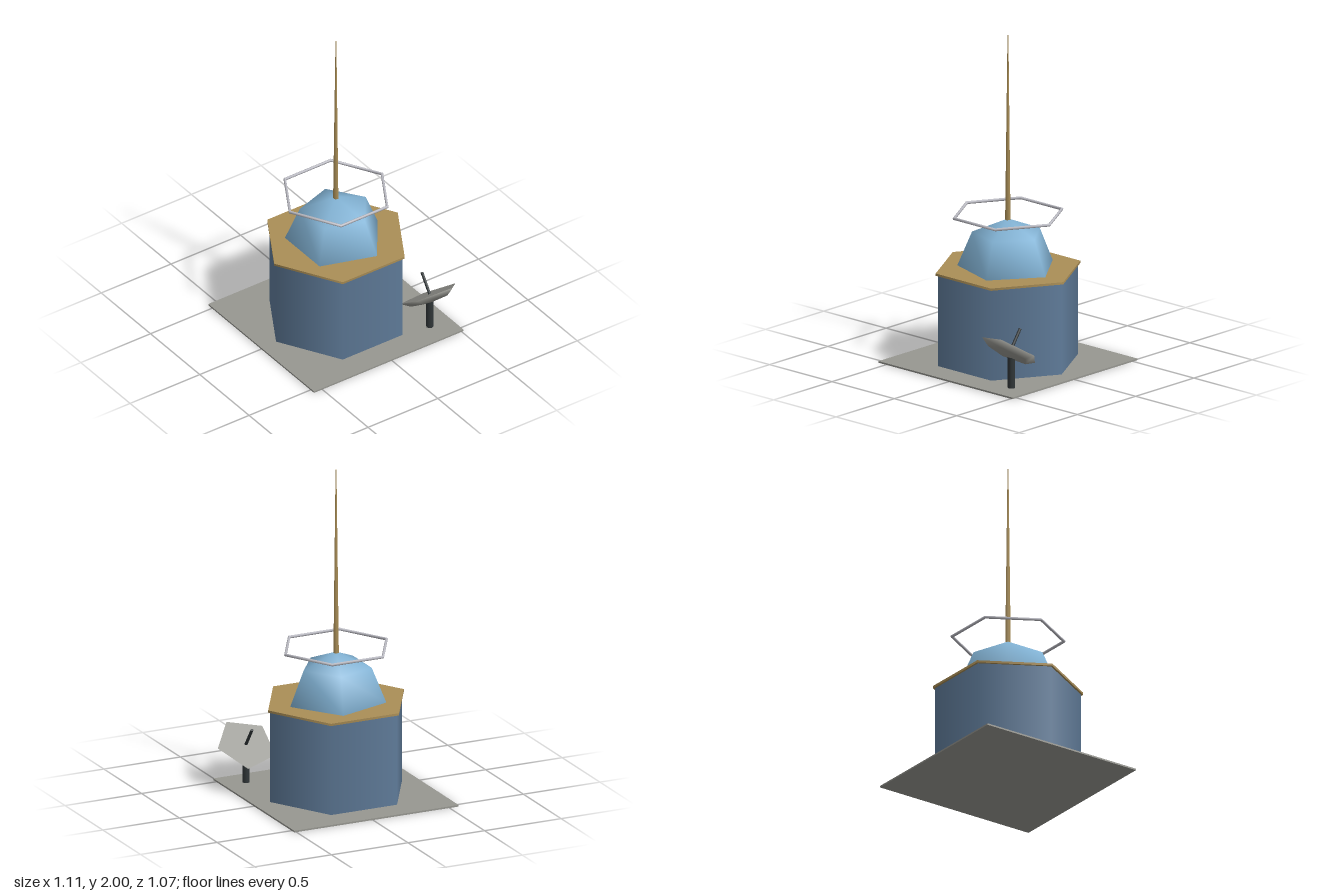
import * as THREE from 'three';

const paint = (name, color) => {
  const m = new THREE.MeshStandardMaterial({ color });
  m.name = name;
  return m;
};

export function createModel() {
  const model = new THREE.Group();
  model.name = 'observatoryStation';

  const concrete = paint('concrete grey', 0x979791);
  const wall = paint('wall blue', 0x5f7b99);
  const bronze = paint('bronze', 0xab8f57);
  const glass = paint('dome blue', 0x83b4d6);
  const steel = paint('light steel', 0xbcbcc4);
  const dark = paint('dark metal', 0x303638);

  const add = (parent, name, geometry, material, x = 0, y = 0, z = 0) => {
    const mesh = new THREE.Mesh(geometry, material);
    mesh.name = name;
    mesh.position.set(x, y, z);
    parent.add(mesh);
    return mesh;
  };
  // Upright prism or taper with one corner on +x
  const prism = (top, bottom, height, sides) =>
    new THREE.CylinderGeometry(top, bottom, height, sides).rotateY(Math.PI / 2);

  const cx = -0.023;

  // Base plate, hexagonal building and roof slab
  add(model, 'basePlate', new THREE.BoxGeometry(1.073, 0.01, 1.073), concrete, cx, 0.005, 0);
  add(model, 'building', prism(0.43, 0.43, 0.555, 6), wall, cx, 0.2875, 0);
  add(model, 'roofSlab', prism(0.443, 0.443, 0.014, 6), bronze, cx, 0.571, 0);

  // Five-sided dome
  const dome = new THREE.SphereGeometry(0.3, 5, 2, 0, Math.PI * 2, 0, Math.PI / 2).rotateY(Math.PI);
  add(model, 'dome', dome, glass, cx, 0.576, 0);

  // Tapered mast and the hexagonal ring around it
  add(model, 'mast', prism(0.003, 0.017, 1.135, 5), bronze, cx, 1.4325, 0);
  add(model, 'antennaRing', new THREE.TorusGeometry(0.33, 0.009, 8, 6).rotateX(Math.PI / 2), steel, cx, 0.904, 0);

  // Dish on a post, tilted back towards the building
  add(model, 'dishPost', prism(0.022, 0.022, 0.19, 8), dark, 0.372, 0.105, 0.393);
  const dish = new THREE.Group();
  dish.name = 'dish';
  dish.position.set(0.37, 0.244, 0.394);
  dish.rotation.x = -0.62;
  model.add(dish);
  const bowl = new THREE.SphereGeometry(0.185, 5, 2, 0, Math.PI * 2, Math.PI / 2, Math.PI / 2)
    .rotateY(Math.PI).scale(1, 0.27, 1);
  add(dish, 'dishBowl', bowl, concrete);
  add(dish, 'dishFace', new THREE.CircleGeometry(0.185, 5).rotateX(-Math.PI / 2), concrete);
  add(dish, 'dishFeed', prism(0.009, 0.009, 0.135, 8), dark, 0, 0.0675, 0);

  return model;
}
